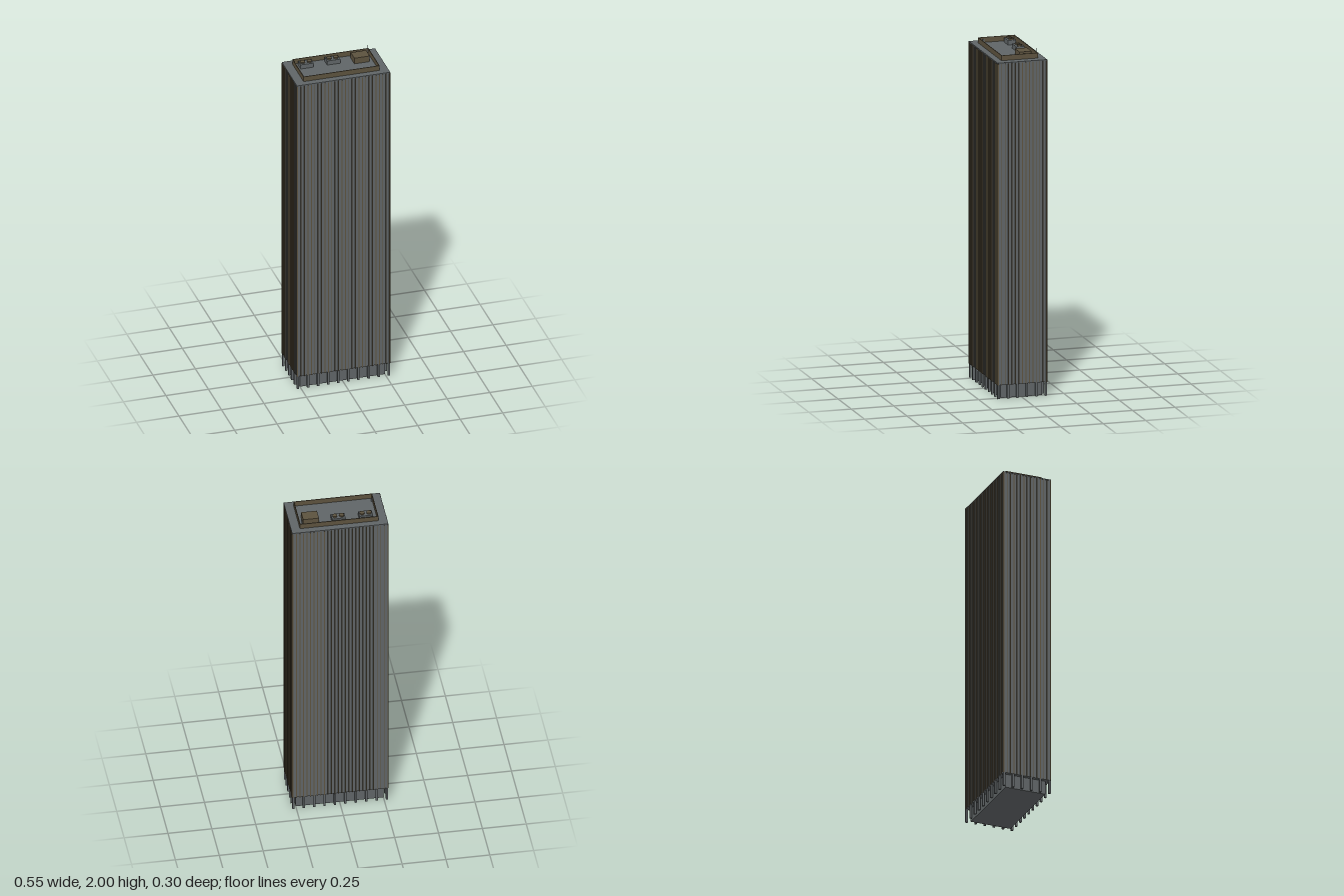
import * as THREE from 'three';

export function createModel() {
  const model = new THREE.Group();
  model.name = 'officeTower';
  const mat = (name, color) => {
    const m = new THREE.MeshStandardMaterial({ color });
    m.name = name;
    return m;
  };
  const grey = mat('greyGlass', 0x5f6466);
  const bronze = mat('bronze', 0x5c523e);

  // box from its centre in plan, its base height and its size
  function box(name, material, x, y, z, w, h, d, parent = model) {
    const mesh = new THREE.Mesh(new THREE.BoxGeometry(w, h, d), material);
    mesh.position.set(x, y + h / 2, z);
    mesh.name = name;
    parent.add(mesh);
    return mesh;
  }
  function group(name) {
    const g = new THREE.Group();
    g.name = name;
    model.add(g);
    return g;
  }

  const HX = 0.272, HZ = 0.144, BASE = 0.08, TOP = 1.945;

  // main block, roof edge and recessed lobby
  box('towerBlock', grey, 0, BASE, 0, HX * 2, TOP - BASE - 0.006, HZ * 2);
  box('roofSlab', grey, 0, TOP - 0.006, 0, 0.548, 0.006, 0.292);
  box('lobby', grey, 0, 0, 0, 0.5, BASE, 0.242);

  // bronze mullions on all four faces
  const mullions = group('mullions');
  const mullionHeight = TOP - BASE - 0.006;
  const NX = 27, NZ = 14;
  for (const s of [-1, 1]) {
    for (let i = 0; i <= NX; i++) {
      const x = -0.27 + (0.54 * i) / NX;
      box('mullion', bronze, x, BASE, s * (HZ + 0.0015), 0.004, mullionHeight, 0.005, mullions);
    }
    for (let i = 0; i <= NZ; i++) {
      const z = -0.142 + (0.284 * i) / NZ;
      box('mullion', bronze, s * (HX + 0.0015), BASE, z, 0.005, mullionHeight, 0.004, mullions);
    }
  }

  // ground floor columns around the perimeter
  const columns = group('columns');
  const column = (x, z) => box('column', grey, x, 0, z, 0.012, BASE, 0.012, columns);
  for (const s of [-1, 1]) {
    for (let i = 0; i < 10; i++) column(-0.267 + (0.534 * i) / 9, s * 0.139);
    for (let i = 1; i < 5; i++) column(s * 0.267, -0.139 + (0.278 * i) / 5);
  }

  // rooftop screen wall
  const screen = group('roofScreen');
  for (const s of [-1, 1]) {
    box('longScreen', bronze, 0, TOP, s * 0.106, 0.448, 0.03, 0.004, screen);
    box('shortScreen', bronze, s * 0.222, TOP, 0, 0.004, 0.03, 0.208, screen);
  }

  // cooling units with paired fans
  for (const x of [-0.158, -0.002]) {
    const unit = group('coolingUnit');
    box('unitBody', grey, x, TOP, -0.061, 0.077, 0.026, 0.048, unit);
    for (const s of [-1, 1]) {
      const fan = new THREE.Mesh(new THREE.CylinderGeometry(0.014, 0.014, 0.008, 24), bronze);
      fan.position.set(x + s * 0.0195, TOP + 0.03, -0.061);
      fan.name = 'fan';
      unit.add(fan);
    }
  }

  // stair house, hatch and mast
  box('stairHouse', bronze, 0.155, TOP, -0.041, 0.09, 0.036, 0.07);
  box('roofHatch', grey, -0.217, TOP, 0.077, 0.009, 0.02, 0.009);
  box('mast', grey, 0.214, TOP, -0.1, 0.0025, 0.055, 0.0025);

  return model;
}
